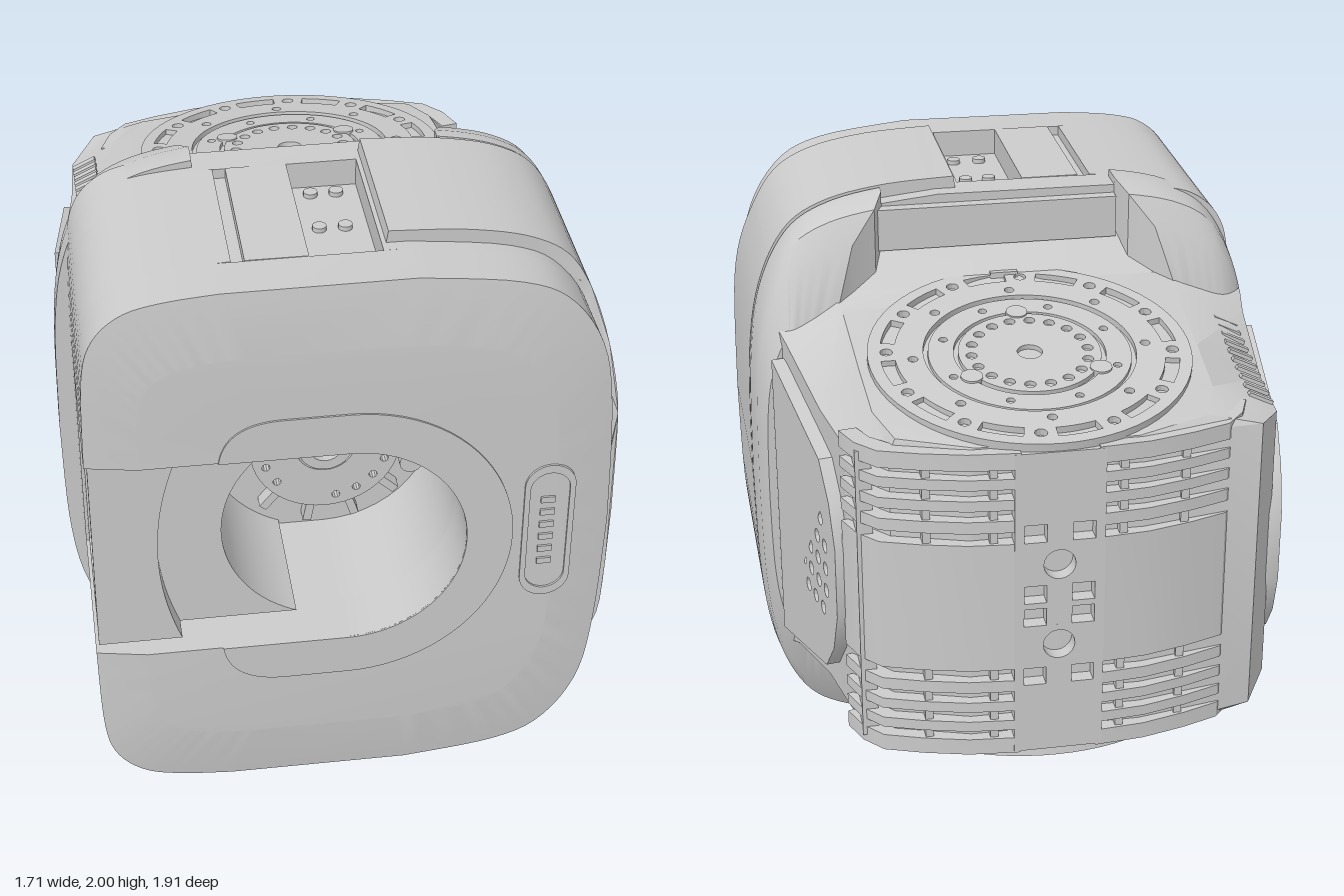
import * as THREE from 'three';
import { toCreasedNormals } from 'three/addons/utils/BufferGeometryUtils.js';

const mat = new THREE.MeshStandardMaterial({ color: 0xcccccc });
const V2 = (x, y) => new THREE.Vector2(x, y);
const poly = pts => new THREE.Shape(pts.map(p => p.isVector2 ? p : V2(...p)));
const circle = (x, y, r, n = 20, phase = 0) => new THREE.Path(Array.from({ length: n }, (_, i) => {
  const a = phase + i / n * 2 * Math.PI;
  return V2(x + r * Math.cos(a), y + r * Math.sin(a));
}));
const spline = (pts, n) => new THREE.SplineCurve(pts.map(p => V2(...p))).getPoints(n);
const mirrorY = pts => pts.map(p => V2(p.x, -p.y)).reverse();
const lerp = THREE.MathUtils.lerp;

// Skin counter-clockwise rings [points, z or z(index)], ordered by rising z, with end caps
function loft(rings) {
  const pos = [], n = rings[0][0].length, last = rings.length - 1;
  const put = (r, i) => {
    const [pts, z] = rings[r], k = i % n;
    pos.push(pts[k].x, pts[k].y, typeof z === 'number' ? z : z(k));
  };
  for (let r = 0; r < last; r++) for (let i = 0; i < n; i++) {
    put(r, i); put(r, i + 1); put(r + 1, i + 1);
    put(r, i); put(r + 1, i + 1); put(r + 1, i);
  }
  for (const [a, b, c] of THREE.ShapeUtils.triangulateShape(rings[0][0], [])) { put(0, c); put(0, b); put(0, a); }
  for (const [a, b, c] of THREE.ShapeUtils.triangulateShape(rings[last][0], [])) { put(last, a); put(last, b); put(last, c); }
  const g = new THREE.BufferGeometry();
  g.setAttribute('position', new THREE.Float32BufferAttribute(pos, 3));
  return toCreasedNormals(g, 0.5);
}
const extrude = (shape, depth) => toCreasedNormals(
  new THREE.ExtrudeGeometry(shape, { depth, bevelEnabled: false, curveSegments: 20 }), 0.5);

function add(parent, name, geo, x = 0, y = 0, z = 0) {
  const m = new THREE.Mesh(geo, mat);
  m.name = name;
  m.position.set(x, y, z);
  parent.add(m);
  return m;
}
const box = (p, name, w, h, d, x, y, z) => add(p, name, new THREE.BoxGeometry(w, h, d), x, y, z);

// Housing outline (origin at mid height): optional side notch, top and bottom grooves, and inset
function outline({ notch, groove, inset }) {
  let top = [
    ...spline([[0.825, 0], [0.81, 0.4], [0.77, 0.66], [0.66, 0.84], [0.5, 0.92], [0.2, 0.96]], 24),
    ...(groove ? [[0.12, 0.96], [0.12, 0.87], [-0.1, 0.87], [-0.1, 0.96], [-0.29, 0.96], [-0.29, 0.925],
      [-0.33, 0.925], [-0.33, 0.96]].map(p => V2(...p)) : []),
    ...spline([[-0.38, 0.957], [-0.55, 0.94], [-0.67, 0.905], [-0.755, 0.82], [-0.79, 0.68], [-0.8, 0.37]], 24)];
  if (inset) top = top.map(p => V2(p.x * 0.8, p.x < 0 ? 0.37 + (p.y - 0.37) * 0.641 : p.y * 0.78));
  const pts = [...mirrorY(top.slice(1)), ...top];
  if (notch) for (let i = 0; i <= 24; i++) {
    const a = Math.PI / 2 - i / 24 * Math.PI;
    pts.push(V2(0.37 * Math.cos(a), 0.37 * Math.sin(a)));
  }
  return pts;
}

// Round mounting flange with slots, bolt holes and a recessed centre; faces +y
function flange() {
  const g = new THREE.Group();
  const ring = (name, r1, r0, y, holes) => {
    const s = poly(circle(0, 0, r1, 64).getPoints());
    if (r0) s.holes.push(circle(0, 0, r0, 64));
    s.holes.push(...holes);
    add(g, name, extrude(s, 0.05), 0, y, 0).rotation.x = -Math.PI / 2;
  };
  const around = (n, r, hole, off = 0) => Array.from({ length: n }, (_, i) => {
    const a = (i + off) / n * 2 * Math.PI;
    return circle(r * Math.cos(a), r * Math.sin(a), hole, 12, a);
  });
  const slots = (n, r0, r1, span) => Array.from({ length: n }, (_, i) => {
    const a = i * 2 * Math.PI / n, at = (r, t) => V2(r * Math.cos(a + span * t), r * Math.sin(a + span * t));
    const ts = [0, 0.2, 0.4, 0.6, 0.8, 1];
    return new THREE.Path([...ts.map(t => at(r1, t)), ...ts.reverse().map(t => at(r0, t))]);
  });
  ring('flangeOuterRing', 0.51, 0.335, -0.025,
    [...slots(12, 0.425, 0.47, 0.3), ...around(12, 0.45, 0.02, 0.79), ...around(8, 0.37, 0.016)]);
  ring('flangeMiddleRing', 0.32, 0.24, -0.03, around(8, 0.28, 0.014, 0.5));
  ring('flangeHub', 0.225, 0, -0.028, [...around(18, 0.185, 0.018), circle(0, 0, 0.04)]);
  for (let i = 0; i < 3; i++) {
    const a = i * 2 * Math.PI / 3 + Math.PI / 2;
    add(g, 'flangeBolt', new THREE.CylinderGeometry(0.035, 0.035, 0.03, 16), 0.235 * Math.cos(a), 0.012, 0.235 * Math.sin(a));
  }
  return g;
}

export function createModel() {
  const root = new THREE.Group();
  const g = new THREE.Group();
  g.name = 'body';
  g.position.y = 1;
  root.add(g);

  // Front housing in slices, with the deep bore open to one side
  add(g, 'housingRear', loft([[outline({}), 0.12], [outline({}), 0.23]]));
  add(g, 'housingBack', loft([[outline({ groove: true }), 0.23], [outline({ groove: true }), 0.36]]));
  const mid = outline({ groove: true, notch: true }), front = outline({ notch: true });
  add(g, 'housingMiddle', loft([[mid, 0.36], [mid, 0.76]]));
  add(g, 'housingFront', loft([[front, 0.76], [front, 0.92], [outline({ notch: true, inset: true }), 0.95]]));
  const collar = new THREE.Shape();
  collar.moveTo(-0.4, 0.37); collar.lineTo(0, 0.37);
  collar.absarc(0, 0, 0.37, Math.PI / 2, -Math.PI / 2, true);
  collar.lineTo(-0.4, -0.37); collar.quadraticCurveTo(-0.38, -0.515, -0.2, -0.515); collar.lineTo(0, -0.515);
  collar.absarc(0, 0, 0.515, -Math.PI / 2, Math.PI / 2, false);
  collar.lineTo(-0.2, 0.515); collar.quadraticCurveTo(-0.38, 0.515, -0.4, 0.37);
  add(g, 'boreCollar', extrude(collar, 0.01), 0, 0, 0.946);

  // Side door filling the notch
  const door = (x0, cx, r, z) => {
    const a = Math.asin(0.355 / r), s = new THREE.Shape();
    s.moveTo(x0, -0.355);
    s.lineTo(cx - r * Math.cos(a), -0.355);
    s.absarc(cx, 0, r, Math.PI + a, Math.PI - a, true);
    s.lineTo(x0, 0.355);
    add(g, 'doorBlock', extrude(s, z - 0.36), 0, 0, 0.36);
  };
  door(-0.69, 0.41, 1.0, 0.9);
  door(-0.68, 0, 0.385, 0.82);
  const plate = poly([[0.36, -0.355], [0.9, -0.355], [0.9, 0.355], [0.36, 0.355]]);
  plate.holes.push(poly([[0.42, -0.31], [0.85, -0.31], [0.85, 0.31], [0.42, 0.31]]));
  add(g, 'doorPlate', extrude(plate, 0.1), -0.69).rotation.y = -Math.PI / 2;
  box(g, 'doorPad', 0.06, 0.3, 0.3, -0.71, 0.14, 0.68);
  for (const [x, y, z] of [[-0.74, 0.14, 0.68], [-0.69, -0.14, 0.56]])
    add(g, 'doorSocket', new THREE.TorusGeometry(0.055, 0.02, 8, 24), x, y, z).rotation.y = Math.PI / 2;

  // Rotor at the bottom of the bore
  const disc = poly(circle(0, 0, 0.25, 48).getPoints());
  disc.holes.push(circle(0, 0, 0.1, 32));
  for (let i = 0; i < 18; i++) if (i % 6 > 1) disc.holes.push(circle(0.21 * Math.cos(i * 0.349), 0.21 * Math.sin(i * 0.349), 0.014, 10, i));
  add(g, 'rotorDisc', extrude(disc, 0.07), 0, 0, 0.36);
  const hub = poly(circle(0, 0, 0.09, 32).getPoints());
  hub.holes.push(circle(0, 0, 0.055));
  add(g, 'rotorHub', extrude(hub, 0.08), 0, 0, 0.36);
  for (let i = 0; i < 10; i++) {
    const a = -2.25 + i * 0.5;
    box(g, 'rotorFin', 0.09, 0.028, 0.06, 0.285 * Math.cos(a), 0.285 * Math.sin(a), 0.38).rotation.z = a;
  }
  for (const y of [0.12, -0.11])
    add(g, 'rotorStud', new THREE.CylinderGeometry(0.038, 0.038, 0.06, 20), 0.29, y, 0.39).rotation.x = Math.PI / 2;

  // Control pill on the front
  const pill = (w, h) => {
    const s = new THREE.Shape(), r = w / 2, c = h / 2 - r;
    s.absarc(0, c, r, 0, Math.PI, false);
    s.absarc(0, -c, r, Math.PI, 2 * Math.PI, false);
    return s;
  };
  const rim = pill(0.16, 0.52);
  rim.holes.push(pill(0.125, 0.46));
  add(g, 'controlRim', extrude(rim, 0.032), 0.625, 0, 0.925);
  add(g, 'controlPanel', extrude(pill(0.13, 0.47), 0.03), 0.625, 0, 0.92);
  for (let i = 0; i < 6; i++) box(g, 'controlKey', 0.045, 0.022, 0.02, 0.62, -0.12 + i * 0.049, 0.947);

  // Screws in the top and bottom recesses
  for (const s of [1, -1]) for (const [x, z] of [[-0.03, 0.28], [0.05, 0.28], [-0.03, 0.48], [0.05, 0.48], [-0.03, 0.68], [0.06, 0.68]])
    add(g, 'recessScrew', new THREE.CylinderGeometry(0.022, 0.022, 0.02, 14), x, s * 0.875, z);

  // Outer side shell, its front edge stepping forward at mid height
  const outerTop = spline([[0.85, 0], [0.84, 0.4], [0.8, 0.66], [0.71, 0.85], [0.58, 0.94], [0.38, 0.985], [0.14, 1]], 32);
  const outer = [...mirrorY(outerTop.slice(1)), ...outerTop];
  const shell = [...outer, ...outer.map(p => V2(p.x * 0.94, p.y * 0.945)).reverse()];
  const shellEdge = i => 0.72 + 0.155 * (1 - THREE.MathUtils.smoothstep(
    Math.abs(outer[Math.min(i, shell.length - 1 - i)].y), 0.38, 0.8));
  add(g, 'sideShell', loft([[shell, 0.175], [shell, shellEdge]]));

  // Rear rim: one tapered lobe on each side, its inner end sloping away
  for (const side of [1, -1]) {
    const up = outerTop.filter(p => p.x > 0.37), x0 = up.at(-1).x;
    const ring = (inner, edge, sy) => {
      const pts = [...mirrorY(up.slice(1)), ...up].map(p => V2(lerp(inner, edge, (p.x - x0) / (0.85 - x0)), p.y * sy));
      return side > 0 ? pts : pts.map(p => V2(-p.x * 1.01, p.y)).reverse();
    };
    add(g, 'rearLobe', loft([[ring(0.56, 0.81, 0.66), -0.065], [ring(0.5, 0.838, 0.86), 0], [ring(0.42, 0.843, 0.965), 0.045],
      [ring(x0 - 0.02, 0.85, 1), 0.12], [ring(x0 - 0.02, 0.85, 1), side > 0 ? 0.16 : 0.205]]));
  }
  for (const s of [1, -1]) {
    box(g, 'rearLedge', 0.84, 0.14, 0.05, 0.03, s * 0.86, 0.105);
    box(g, 'ledgeTab', 0.09, 0.07, 0.08, 0, s * 0.68, 0.05);
  }

  // Rear body: octagonal sections [z, right, left, top half width, half height, side half height]
  const sections = [
    [-0.905, 0.27, 0.27, 0.25, 0.53, 0.52], [-0.83, 0.5, 0.655, 0.48, 0.545, 0.5],
    [-0.69, 0.62, 0.74, 0.53, 0.572, 0.47], [-0.45, 0.665, 0.755, 0.54, 0.61, 0.48],
    [-0.1, 0.735, 0.79, 0.55, 0.663, 0.56], [0, 0.765, 0.805, 0.58, 0.685, 0.6], [0.13, 0.76, 0.77, 0.6, 0.82, 0.62]];
  add(g, 'rearBody', loft(sections.map(([z, r, l, t, h, p]) => [
    [[r, -p], [r, p], [t, h], [-t, h], [-l, p], [-l, -p], [-t, -h], [t, -h]].map(q => V2(...q)), z])));

  // Tilted flanges above and below
  for (const s of [1, -1]) {
    const pivot = new THREE.Group();
    pivot.name = s > 0 ? 'topFlange' : 'bottomFlange';
    pivot.rotation.z = s > 0 ? 0 : Math.PI;
    const f = flange();
    f.position.set(0, 0.605, -0.445);
    f.rotation.x = -0.163;
    pivot.add(f);
    g.add(pivot);
  }

  // Perforated side panels
  const panel = (dir, x, tilt, holes) => {
    const s = poly([[0, -0.5], [0.5, -0.37], [0.59, -0.26], [0.64, -0.12], [0.64, 0.12], [0.59, 0.26], [0.5, 0.37], [0, 0.5]]
      .map(([u, v]) => [u * dir, v]));
    s.holes.push(...holes.map(([u, v, r], i) => circle(u * dir, v + 0.001 * Math.sin(i * 2.3), r, 12, i * 0.37)));
    add(g, 'sidePanel', extrude(s, 0.06), x, 0, -0.07).rotation.y = dir * (Math.PI / 2 + tilt);
  };
  const grid = [], hex = [];
  for (let j = -2; j <= 2; j++) {
    const n = Math.abs(j) === 2 ? 3 : 4;
    for (let i = 0; i < n; i++) grid.push([0.41 + (i - (n - 1) / 2) * 0.08, j * 0.08, 0.023]);
  }
  for (let i = 0; i < 9; i++) for (let j = 0; j < 10; j++) {
    const v = -0.3 + j * 0.064 + (i % 2) * 0.032;
    if (Math.abs(v) < 0.4 - i * 0.022) hex.push([0.1 + i * 0.052, v, 0.015]);
  }
  panel(1, 0.725, 0.195, grid);
  panel(-1, -0.77, 0.095, hex);
  for (const s of [1, -1]) for (let i = 0; i < 10; i++)
    box(g, 'ventLouvre', 0.085, 0.012, 0.022, -0.7, s * lerp(0.575, 0.498, i / 9), lerp(-0.2, -0.64, i / 9)).rotation.z = s * 0.45;

  // Rear grille wrapping the back, with a central mounting plate
  const out = [[0.12, 0.953], [0.28, 0.938], [0.42, 0.902], [0.54, 0.86], [0.6, 0.79], [0.635, 0.7]];
  const inn = [[0.58, 0.69], [0.55, 0.76], [0.5, 0.81], [0.4, 0.85], [0.27, 0.89], [0.12, 0.9]];
  const bands = [[-0.22, 0.44]];
  for (const s of [1, -1]) for (const [v, h] of [[0.26, 0.04], [0.335, 0.035], [0.405, 0.035], [0.47, 0.055]])
    bands.push([s > 0 ? v : -v - h, h]);
  for (const m of [1, -1]) {
    const pts = [...out, ...inn].map(([x, y]) => [x * m, y]);
    for (const [v, h] of bands) add(g, 'grilleBar', extrude(poly(pts), h), 0, v, 0).rotation.x = -Math.PI / 2;
    for (const [x, z] of [[0.2, -0.915], [0.4, -0.877]]) box(g, 'grilleRib', 0.025, 1.02, 0.04, x * m, 0, z);
    box(g, 'grilleEnd', 0.05, 1, 0.1, 0.575 * m, 0, -0.755);
  }
  const back = poly([[-0.14, -0.52], [0.14, -0.52], [0.14, 0.52], [-0.14, 0.52]]);
  for (const y of [-0.14, 0.14]) back.holes.push(circle(0, y, 0.05));
  for (const x of [-0.075, 0.075]) for (const y of [-0.25, -0.04, 0.04, 0.25])
    back.holes.push(poly([[x - 0.035, y - 0.03], [x + 0.035, y - 0.03], [x + 0.035, y + 0.03], [x - 0.035, y + 0.03]]));
  add(g, 'backPlate', extrude(back, 0.05), 0, 0, -0.953);
  return root;
}
